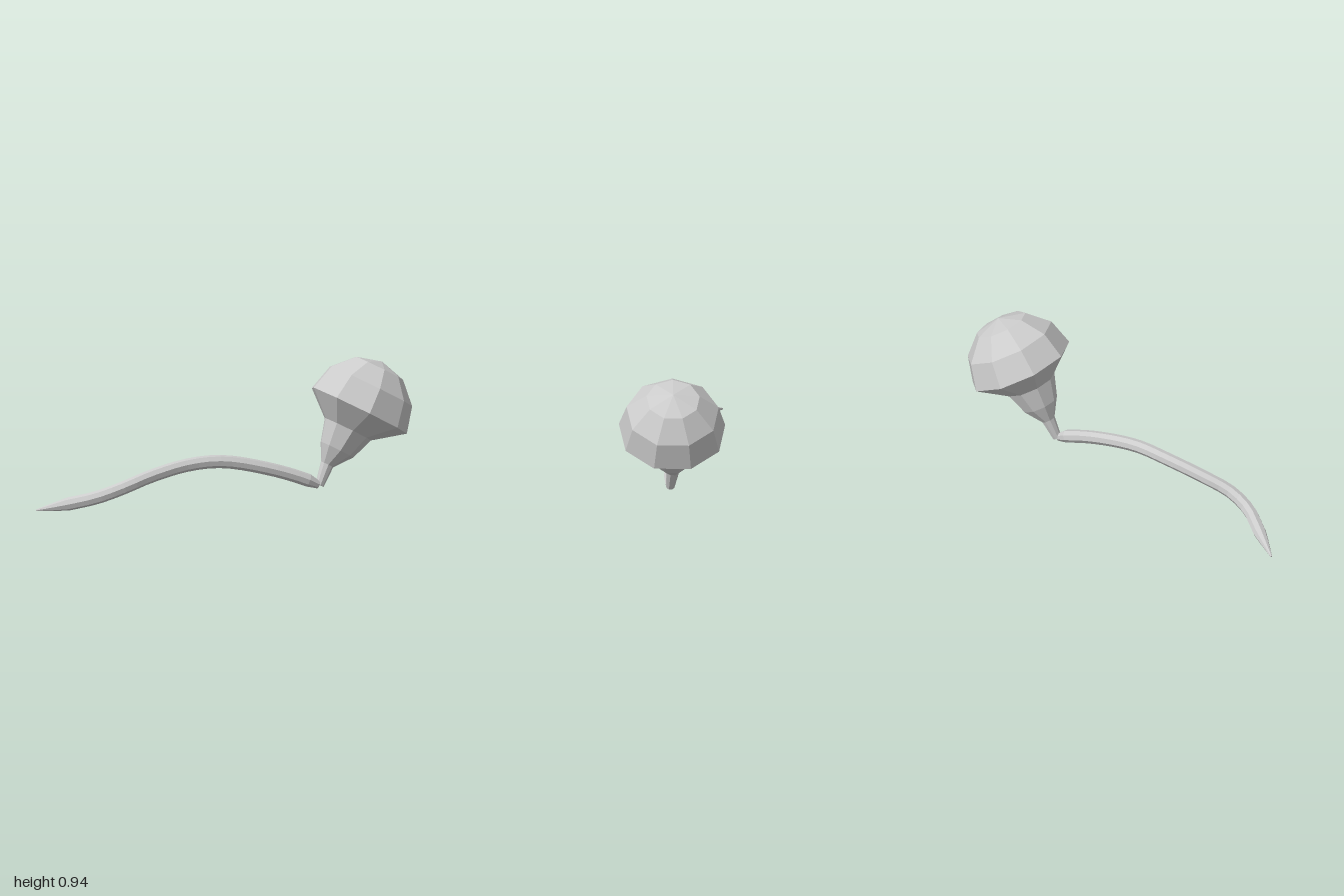
import * as THREE from 'three';

const V = (x, y, z) => new THREE.Vector3(x, y, z);

// Skins a row of rings { c, u, v, r }; a ring of radius 0 becomes a pole.
function loft(rings, sides) {
  const pos = [];
  const point = ({ c, u, v, r }, j) => {
    const a = ((j % sides) / sides) * Math.PI * 2;
    return c.clone().addScaledVector(u, r * Math.cos(a)).addScaledVector(v, r * Math.sin(a));
  };
  const tri = (...pts) => pts.forEach((p) => pos.push(p.x, p.y, p.z));
  for (let i = 0; i < rings.length - 1; i++) {
    const [lo, hi] = [rings[i], rings[i + 1]];
    for (let j = 0; j < sides; j++) {
      const a = point(lo, j), b = point(lo, j + 1), c = point(hi, j + 1), d = point(hi, j);
      if (lo.r > 0) tri(a, b, c);
      if (hi.r > 0) tri(a, c, d);
      if (lo.r > 0 && hi.r === 0) continue;
    }
  }
  const geo = new THREE.BufferGeometry();
  geo.setAttribute('position', new THREE.Float32BufferAttribute(pos, 3));
  geo.computeVertexNormals();
  return geo;
}

// Nine-sided head: thin stem, flared neck, wide rim and a domed cap
function headGeometry() {
  const axis = V(0.22, 0.88, -0.42).normalize();
  const az = THREE.MathUtils.degToRad(76);
  const u = V(Math.cos(az), 0, Math.sin(az));
  u.y = -(u.x * axis.x + u.z * axis.z) / axis.y;
  u.normalize();
  const v = axis.clone().cross(u);
  const base = V(0.377, 0.125, -0.42);
  const rings = [
    [base, 0], [base, 0.029],
    [V(0.392, 0.255, -0.477), 0.045],
    [V(0.43, 0.35, -0.53), 0.12],
    [V(0.468, 0.48, -0.593), 0.17],
  ].map(([c, r]) => ({ c, u, v, r }));
  // Dome rings from the rim up to the pole
  const rim = V(0.505, 0.6, -0.66), R = 0.35;
  for (let k = 0; k <= 3; k++) {
    const t = (k * Math.PI) / 6;
    rings.push({ c: rim.clone().addScaledVector(axis, R * Math.sin(t)), u, v, r: k === 3 ? 0 : R * Math.cos(t) });
  }
  return loft(rings, 9);
}

// Curving tail, pointed at the free end and pinched where it meets the stem
function tailGeometry() {
  const curve = new THREE.CatmullRomCurve3([
    V(-0.84, 0.012, 0.99), V(-0.62, 0.07, 0.905), V(-0.45, 0.12, 0.835), V(-0.33, 0.18, 0.715),
    V(-0.25, 0.24, 0.54), V(-0.13, 0.297, 0.3), V(0, 0.308, 0.11), V(0.2, 0.24, -0.16),
    V(0.335, 0.162, -0.35), V(0.377, 0.128, -0.41),
  ]);
  const n = 26;
  const frames = curve.computeFrenetFrames(n, false);
  const radius = (t) => {
    if (t < 0.1) return THREE.MathUtils.lerp(0.006, 0.04, t / 0.1);
    if (t > 0.965) return THREE.MathUtils.lerp(0.04, 0.026, (t - 0.965) / 0.035);
    return 0.043;
  };
  const rings = [];
  for (let i = 0; i <= n; i++) {
    const ring = { c: curve.getPointAt(i / n), u: frames.normals[i], v: frames.binormals[i], r: radius(i / n) };
    if (i === 0) rings.push({ ...ring, r: 0 });
    rings.push(ring);
    if (i === n) rings.push({ ...ring, r: 0 });
  }
  return loft(rings, 8);
}

export function createModel() {
  const group = new THREE.Group();
  group.name = 'bulbWithTail';
  const material = new THREE.MeshStandardMaterial({ color: 0xcccccc, flatShading: true });
  const parts = { head: headGeometry(), tail: tailGeometry() };
  for (const [name, geometry] of Object.entries(parts)) {
    const mesh = new THREE.Mesh(geometry, material);
    mesh.name = name;
    group.add(mesh);
  }
  return group;
}
